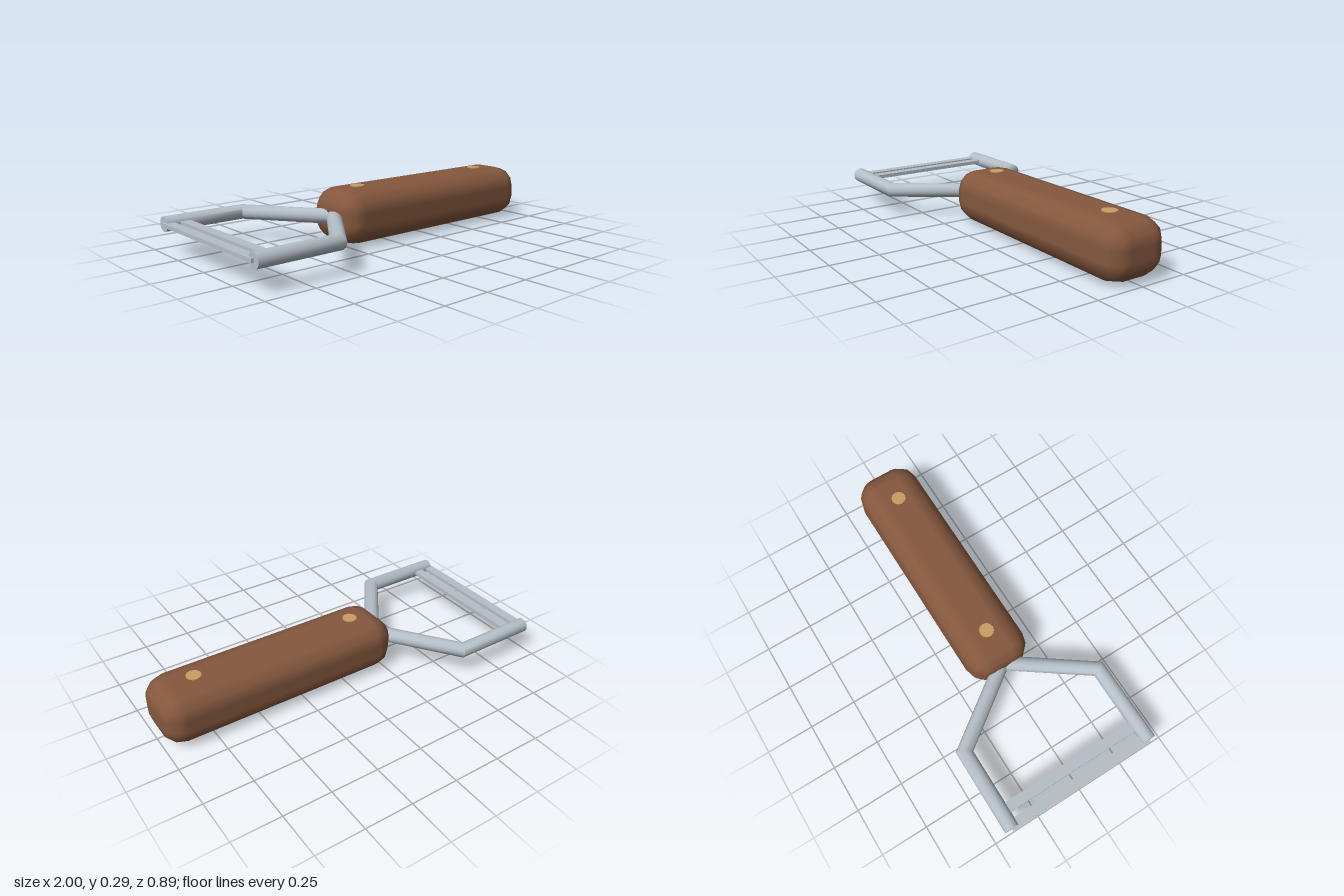
import * as THREE from 'three';
import { toCreasedNormals } from 'three/addons/utils/BufferGeometryUtils.js';

const MID = 0.144; // height of the centre plane

const material = (name, color) => {
  const m = new THREE.MeshStandardMaterial({ color });
  m.name = name;
  return m;
};

// Joins equal rings of points (lists of Vector3) into a capped solid
function loft(rings) {
  const n = rings[0].length, pos = [], index = [];
  rings.forEach(ring => ring.forEach(p => pos.push(p.x, p.y, p.z)));
  for (let i = 0; i < rings.length - 1; i++) {
    for (let j = 0; j < n; j++) {
      const a = i * n + j, b = i * n + (j + 1) % n;
      index.push(a, b, a + n, b, b + n, a + n);
    }
  }
  const last = (rings.length - 1) * n;
  for (let j = 1; j < n - 1; j++) {
    index.push(0, j + 1, j, last, last + j, last + j + 1);
  }
  const g = new THREE.BufferGeometry();
  g.setAttribute('position', new THREE.Float32BufferAttribute(pos, 3));
  g.setIndex(index);
  return g;
}

// Box with rounded edges, three facets per quarter turn, smooth normals
function roundedBlock(w, h, d, r) {
  const rings = [], normals = [], step = Math.PI / 6;
  for (const side of [-1, 1]) {
    for (let i = 0; i <= 3; i++) {
      const lat = side < 0 ? (i - 3) * step : i * step;
      const ring = [];
      for (let q = 0; q < 4; q++) {
        for (let k = 0; k <= 3; k++) {
          const a = (q * 3 + k) * step;
          const nrm = new THREE.Vector3(Math.sin(lat), Math.cos(lat) * Math.cos(a), Math.cos(lat) * Math.sin(a));
          const sy = q === 0 || q === 3 ? 1 : -1, sz = q < 2 ? 1 : -1;
          ring.push(new THREE.Vector3(side * (w / 2 - r), sy * (h / 2 - r), sz * (d / 2 - r)).addScaledVector(nrm, r));
          normals.push(nrm.x, nrm.y, nrm.z);
        }
      }
      rings.push(ring);
    }
  }
  const g = loft(rings);
  g.setAttribute('normal', new THREE.Float32BufferAttribute(normals, 3));
  return g;
}

// Round bar along flat [x, z] points, with mitred bends
function bentBar(path, r, sides) {
  const pts = path.map(([x, z]) => new THREE.Vector2(x, z));
  const rings = pts.map((p, i) => {
    const before = p.clone().sub(pts[Math.max(i - 1, 0)]).normalize();
    const after = pts[Math.min(i + 1, pts.length - 1)].clone().sub(p).normalize();
    const dir = before.clone().add(after).normalize();
    const stretch = 1 / dir.dot(i ? before : after);
    return Array.from({ length: sides }, (_, j) => {
      const a = j / sides * Math.PI * 2, c = Math.cos(a) * r * stretch;
      return new THREE.Vector3(p.x + dir.y * c, Math.sin(a) * r, p.y - dir.x * c);
    });
  });
  return toCreasedNormals(loft(rings), 0.8);
}

export function createModel() {
  const wood = material('brown wood', 0x85583e);
  const steel = material('steel', 0xb5bfc7);
  const brass = material('brass', 0xc89f5f);

  const model = new THREE.Group();
  model.name = 'peeler';
  const add = (name, geometry, mat, x, y = MID) => {
    const mesh = new THREE.Mesh(geometry, mat);
    mesh.name = name;
    mesh.position.set(x, y, 0);
    model.add(mesh);
  };

  // Handle with two rivets through it
  add('handle', roundedBlock(1.3, 0.28, 0.344, 0.11), wood, 0.349);
  for (const x of [-0.113, 0.777]) {
    add('rivet', new THREE.CylinderGeometry(0.038, 0.038, 0.288, 12), brass, x);
  }

  // Forked frame, one arm per side
  for (const s of [-1, 1]) {
    const path = [[-0.988, s * 0.405], [-0.555, s * 0.405], [-0.265, 0]];
    add(s > 0 ? 'frontArm' : 'backArm', bentBar(path, 0.039, 12), steel, 0, 0.145);
  }

  // Twin blades across the fork
  for (const [name, x] of [['outerBlade', -0.974], ['innerBlade', -0.893]]) {
    add(name, new THREE.BoxGeometry(0.052, 0.02, 0.81), steel, x, 0.145);
  }

  return model;
}
